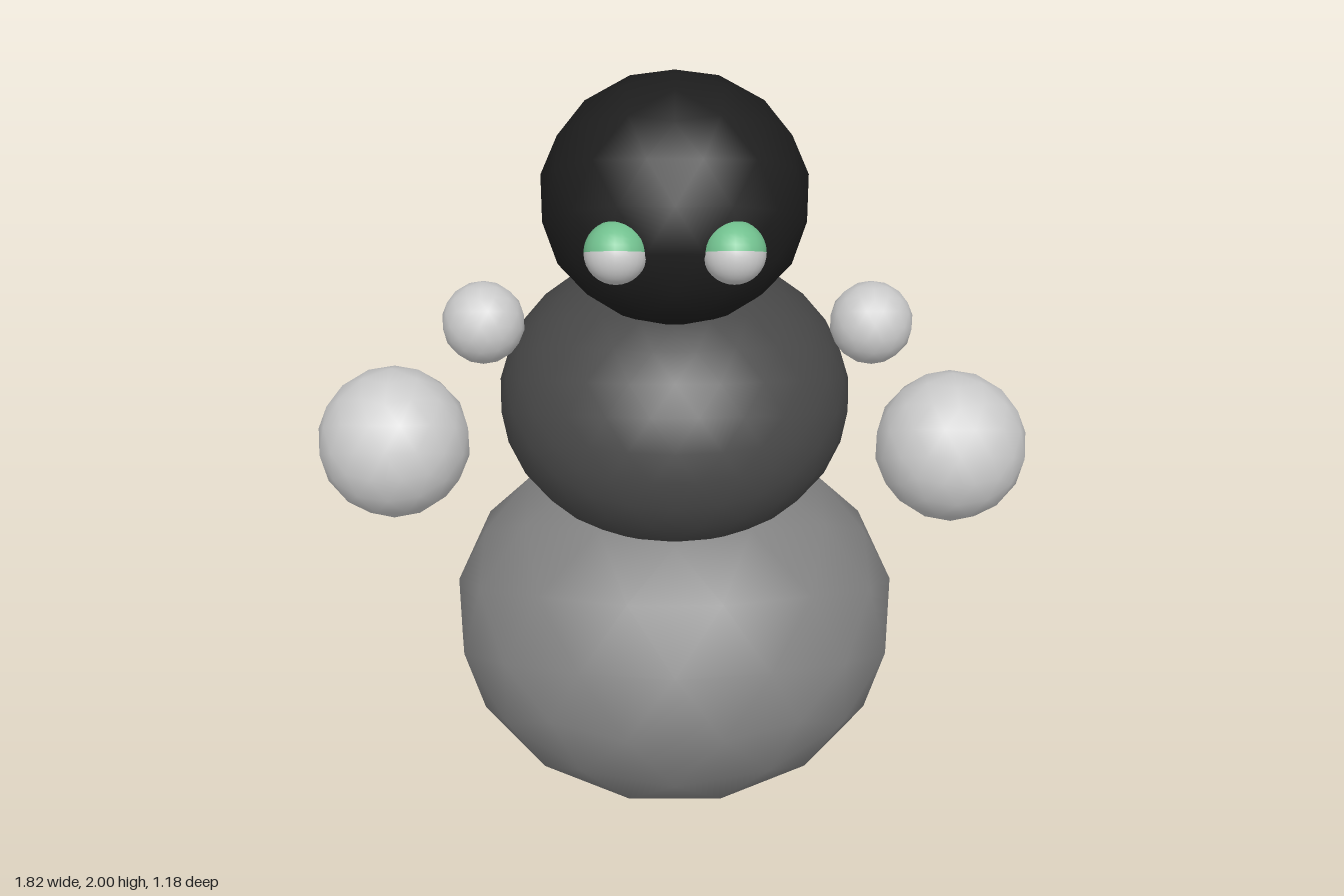
import * as THREE from 'three';

const paint = (color) => new THREE.MeshStandardMaterial({ color });

export function createModel() {
  const model = new THREE.Group();
  const grey = paint(0xcccccc);
  const green = paint(0x71c08e);

  // Faceted outline, smooth shading: a subdivided icosahedron stretched to an ellipsoid
  function ball(name, material, position, radii, detail) {
    const geometry = new THREE.IcosahedronGeometry(1, detail).rotateY(Math.PI / 2);
    const mesh = new THREE.Mesh(geometry, material);
    mesh.name = name;
    mesh.position.set(...position);
    mesh.scale.set(...radii);
    model.add(mesh);
  }

  // Stacked body
  ball('lowerBody', paint(0x828282), [0, 0.47, 0], [0.605, 0.48, 0.6], 2);
  ball('upperBody', paint(0x484848), [0, 1.12, -0.055], [0.46, 0.37, 0.463], 4);
  ball('head', paint(0x1d1d1d), [0, 1.69, -0.023], [0.338, 0.316, 0.338], 2);

  // Floating shoulders and hands
  ball('leftShoulder', grey, [0.505, 1.345, -0.022], [0.107, 0.107, 0.107], 2);
  ball('rightShoulder', grey, [-0.492, 1.34, -0.035], [0.107, 0.107, 0.107], 2);
  ball('leftHand', grey, [0.715, 1.045, 0.092], [0.196, 0.196, 0.196], 2);
  ball('rightHand', grey, [-0.723, 1.07, 0.11], [0.196, 0.196, 0.196], 2);

  // Eyes: white lower half and green lid, the split rising towards the front
  for (const side of [1, -1]) {
    const eye = new THREE.Group();
    eye.name = side > 0 ? 'leftEye' : 'rightEye';
    eye.position.set(side * 0.14, 1.682, 0.279);
    eye.rotation.x = -0.48;
    const half = (name, material, start) => {
      const geometry = new THREE.SphereGeometry(0.076, 24, 8, 0, Math.PI * 2, start, Math.PI / 2);
      const mesh = new THREE.Mesh(geometry, material);
      mesh.name = name;
      eye.add(mesh);
    };
    half('eyelid', green, 0);
    half('eyeball', grey, Math.PI / 2);
    model.add(eye);
  }

  return model;
}
